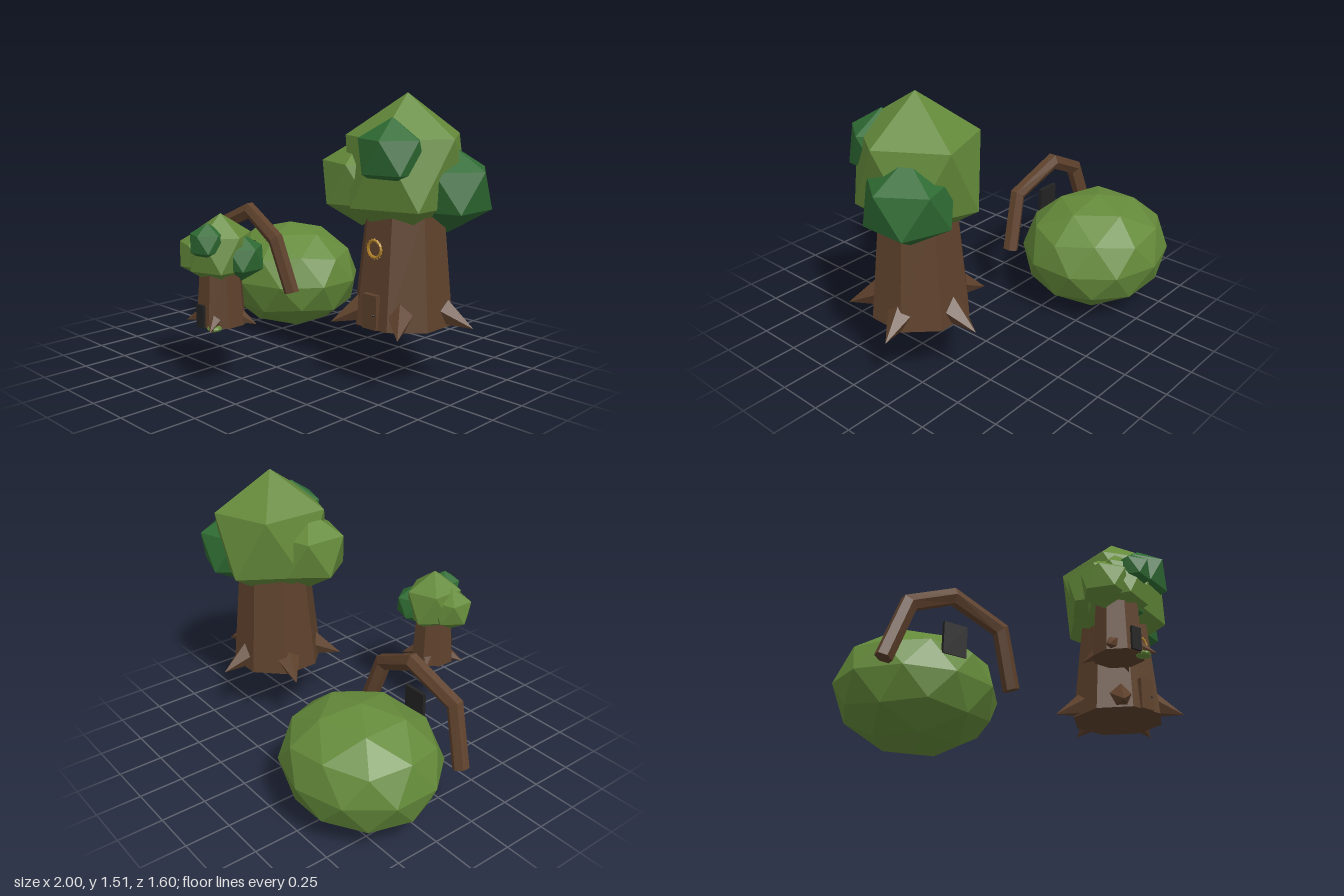
import * as THREE from 'three';

const mat = (name, color) => {
  const m = new THREE.MeshStandardMaterial({ color, flatShading: true });
  m.name = name;
  return m;
};

export function createModel() {
  const leaf = mat('leaf green', 0x648a3a);
  const darkLeaf = mat('dark leaf green', 0x2f6b33);
  const bark = mat('bark brown', 0x5e412c);
  const black = mat('dark panel', 0x232323);
  const gold = mat('gold', 0xb5852a);

  const model = new THREE.Group();
  model.name = 'woodlandVillage';

  const add = (parent, name, geo, material, pos) => {
    const mesh = new THREE.Mesh(geo, material);
    mesh.name = name;
    mesh.position.set(...pos);
    parent.add(mesh);
    return mesh;
  };

  // Faceted ball with a vertex at each pole
  const ball = (detail, rx, ry, rz) =>
    new THREE.IcosahedronGeometry(1, detail)
      .rotateX(-Math.atan((1 + Math.sqrt(5)) / 2))
      .rotateY(Math.PI / 2)
      .scale(rx, ry, rz);

  // Eight-sided trunk, pointed roots and a crown of faceted clumps
  const tree = ({ name, x, z, base, top, height, rootCount, rootStart, rootLength, clumps }) => {
    const g = new THREE.Group();
    g.name = name;
    const ground = 0.335;
    const trunk = new THREE.CylinderGeometry(top, base, height, 8).rotateY(Math.PI / 8);
    add(g, 'trunk', trunk, bark, [x, ground + height / 2, z]);
    for (let i = 0; i < rootCount; i++) {
      const a = rootStart + (i * 2 * Math.PI) / rootCount;
      const at = (r, y) => new THREE.Vector3(x + r * Math.sin(a), y, z + r * Math.cos(a));
      const start = at(rootLength * 0.53, ground + rootLength * 0.2);
      const tip = at(rootLength, ground);
      const dir = tip.clone().sub(start);
      const len = dir.length();
      const cone = new THREE.ConeGeometry(rootLength * 0.2, len, 5).translate(0, len / 2, 0);
      const root = add(g, 'root', cone, bark, start.toArray());
      root.quaternion.setFromUnitVectors(new THREE.Vector3(0, 1, 0), dir.normalize());
    }
    for (const [part, material, pos, r] of clumps) add(g, part, ball(0, ...r), material, pos);
    model.add(g);
    return g;
  };

  const bigTree = tree({
    name: 'bigTree', x: 0.6, z: -0.105, base: 0.268, top: 0.205, height: 0.62,
    rootCount: 5, rootStart: Math.PI, rootLength: 0.385,
    clumps: [
      ['crown', leaf, [0.6, 1.125, -0.11], [0.335, 0.39, 0.373]],
      ['leftClump', leaf, [0.41, 1.06, 0.01], [0.235, 0.235, 0.235]],
      ['frontClump', darkLeaf, [0.655, 1.215, 0.07], [0.19, 0.188, 0.188]],
      ['sideClump', darkLeaf, [0.78, 1.035, -0.23], [0.245, 0.228, 0.247]],
    ],
  });
  add(bigTree, 'door', new THREE.BoxGeometry(0.092, 0.18, 0.03), bark, [0.598, 0.425, 0.142]);
  add(bigTree, 'doorKnob', new THREE.IcosahedronGeometry(0.007, 0), black, [0.628, 0.413, 0.159]);

  // Wreath with short spikes around its rim
  const wreath = new THREE.Group();
  wreath.name = 'wreath';
  wreath.position.set(0.597, 0.745, 0.122);
  add(wreath, 'wreathRing', new THREE.TorusGeometry(0.043, 0.008, 5, 16), gold, [0, 0, 0]);
  for (let i = 0; i < 16; i++) {
    const a = (i * Math.PI) / 8;
    const spike = add(wreath, 'wreathSpike', new THREE.ConeGeometry(0.006, 0.014, 4), gold,
      [0.051 * Math.cos(a), 0.051 * Math.sin(a), 0]);
    spike.rotation.z = a - Math.PI / 2 + 0.5;
  }
  bigTree.add(wreath);

  const smallTree = tree({
    name: 'smallTree', x: -0.02, z: 0.615, base: 0.131, top: 0.107, height: 0.32,
    rootCount: 4, rootStart: 0.59, rootLength: 0.19,
    clumps: [
      ['crown', leaf, [-0.018, 0.712, 0.61], [0.17, 0.198, 0.188]],
      ['leftClump', leaf, [-0.125, 0.692, 0.65], [0.132, 0.132, 0.132]],
      ['frontClump', darkLeaf, [0.003, 0.775, 0.712], [0.1, 0.1, 0.1]],
      ['sideClump', darkLeaf, [0.07, 0.685, 0.547], [0.125, 0.123, 0.128]],
    ],
  });
  add(smallTree, 'door', new THREE.BoxGeometry(0.058, 0.118, 0.014), black, [-0.022, 0.394, 0.745]);
  add(smallTree, 'bush', ball(1, 0.04, 0.018, 0.038), leaf, [0.05, 0.338, 0.715]);

  // Round mound with a dark panel
  add(model, 'mound', ball(1, 0.452, 0.33, 0.41), leaf, [-0.57, 0.33, -0.39]);
  add(model, 'moundDoor', new THREE.BoxGeometry(0.137, 0.175, 0.02), black, [-0.568, 0.513, -0.025]);

  // Branch arch: a six-sided bar bent along five points
  const path = [
    [-0.945, 0.33, -0.05], [-0.845, 0.64, -0.015], [-0.57, 0.775, -0.055],
    [-0.295, 0.64, -0.015], [-0.195, 0.33, -0.05],
  ].map((p) => new THREE.Vector3(...p));
  const last = path.length - 1;
  const arch = new THREE.CylinderGeometry(0.048, 0.048, 1, 6, last);
  const pos = arch.attributes.position;
  for (let i = 0; i < pos.count; i++) {
    const k = Math.round((pos.getY(i) + 0.5) * last);
    const before = path[Math.max(k - 1, 0)];
    const after = path[Math.min(k + 1, last)];
    const t = after.clone().sub(before).setZ(0).normalize();
    const w = pos.getX(i) * (k === 0 || k === last ? 1 : 1.06);
    pos.setXYZ(i, path[k].x + t.y * w, path[k].y - t.x * w, path[k].z + pos.getZ(i) * 0.88);
  }
  arch.computeVertexNormals();
  add(model, 'arch', arch, bark, [0, 0, 0]);

  return model;
}
